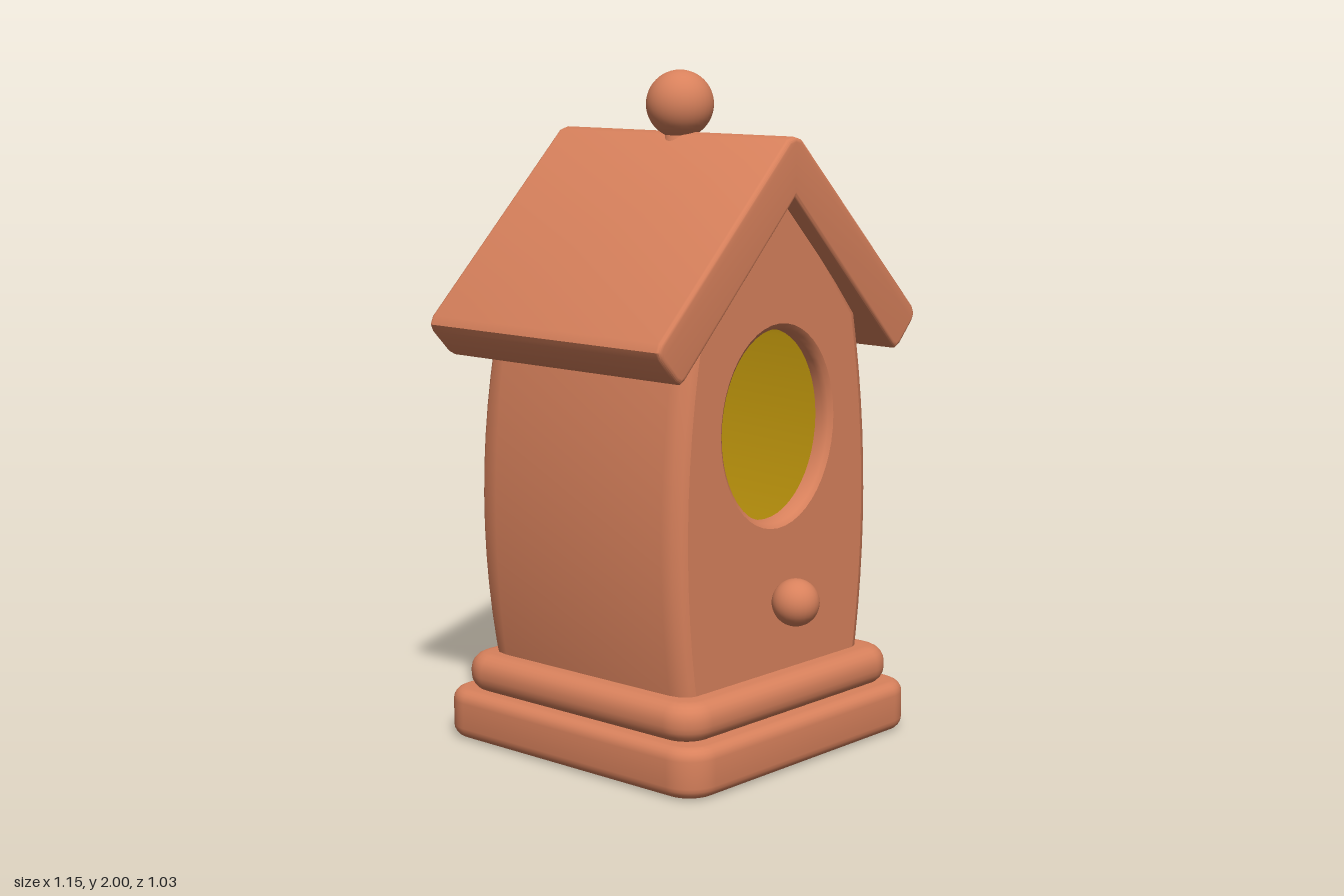
import * as THREE from 'three';
import { toCreasedNormals } from 'three/addons/utils/BufferGeometryUtils.js';

const clay = new THREE.MeshStandardMaterial({ color: 0xd8815c });
clay.name = 'terracotta';
const yellow = new THREE.MeshStandardMaterial({ color: 0xd8aa10 });
yellow.name = 'yellow lining';

const V2 = (x, y) => new THREE.Vector2(x, y);

function add(group, name, geometry, material, x = 0, y = 0, z = 0) {
  const mesh = new THREE.Mesh(geometry, material);
  mesh.name = name;
  mesh.position.set(x, y, z);
  group.add(mesh);
  return mesh;
}

// Gabled wall outline with bulging sides, anticlockwise from the front
function outline(inset, bottom = 0.2) {
  const right = [];
  for (let i = 0; i <= 12; i++) {
    const y = bottom + ((1.28 - bottom) * i) / 12;
    right.push(V2(0.44 - 0.04 * ((y - 0.7) / 0.47) ** 2 - inset, y));
  }
  const left = right.map((p) => V2(-p.x, p.y)).reverse();
  return [...right, V2(0, 1.68), ...left];
}

function ellipse(rx, ry) {
  const points = [];
  for (let i = 0; i < 48; i++) {
    const a = (i / 48) * Math.PI * 2;
    points.push(V2(rx * Math.cos(a), 0.985 + ry * Math.sin(a)));
  }
  return points;
}

// The back wall swells slightly at mid height
const backSwell = (y) => 0.02 * Math.max(0, 1 - ((y - 0.8) / 0.6) ** 2);

function swellBack(geometry) {
  const p = geometry.attributes.position;
  for (let i = 0; i < p.count; i++) {
    if (p.getZ(i) < -0.37) p.setZ(i, p.getZ(i) - backSwell(p.getY(i)));
  }
  geometry.computeVertexNormals();
  return geometry;
}

// Closed rings [points, z]; front to back faces outwards, back to front inwards
function loft(rings) {
  const n = rings[0][0].length;
  const positions = [];
  const index = [];
  rings.forEach(([points, z]) => points.forEach((p) => positions.push(p.x, p.y, z)));
  for (let r = 0; r < rings.length - 1; r++) {
    for (let j = 0; j < n; j++) {
      const a = r * n + j;
      const b = r * n + ((j + 1) % n);
      index.push(a, a + n, b, b, a + n, b + n);
    }
  }
  const g = new THREE.BufferGeometry();
  g.setAttribute('position', new THREE.Float32BufferAttribute(positions, 3));
  g.setIndex(index);
  return toCreasedNormals(swellBack(g), 0.7);
}

// Flat wall, with an optional opening, facing front or back
function panel(points, z, hole, facingBack) {
  const shape = new THREE.Shape(points);
  if (hole) shape.holes.push(new THREE.Path(hole));
  const g = new THREE.ShapeGeometry(shape);
  if (facingBack) g.rotateY(Math.PI);
  return swellBack(g.translate(0, 0, z));
}

function extrude(shape, depth, bevel) {
  const g = new THREE.ExtrudeGeometry(shape, {
    depth: depth - 2 * bevel, bevelThickness: bevel, bevelSize: bevel,
    bevelOffset: -bevel, bevelSegments: 5, curveSegments: 8,
  });
  return toCreasedNormals(g.translate(0, 0, bevel), 0.6);
}

// Rounded plinth slab lying flat
function slab(w, d, h, r, bevel) {
  const s = new THREE.Shape();
  const x = w / 2, y = d / 2;
  s.absarc(x - r, y - r, r, 0, Math.PI / 2);
  s.absarc(r - x, y - r, r, Math.PI / 2, Math.PI);
  s.absarc(r - x, r - y, r, Math.PI, Math.PI * 1.5);
  s.absarc(x - r, r - y, r, Math.PI * 1.5, Math.PI * 2);
  s.closePath();
  return extrude(s, h, bevel).rotateX(-Math.PI / 2);
}

export function createModel() {
  const model = new THREE.Group();
  model.name = 'birdhouse';

  // Stepped base
  add(model, 'lowerBase', slab(1.03, 1.02, 0.148, 0.1, 0.035), clay, 0, 0, -0.005);
  add(model, 'upperBase', slab(0.96, 0.935, 0.115, 0.1, 0.05), clay, 0, 0.142, -0.005);

  // Outer walls with softened corners
  const body = new THREE.Group();
  body.name = 'body';
  model.add(body);
  add(body, 'sideWalls', loft([
    [outline(0.045), 0.382], [outline(0.025), 0.375], [outline(0.008), 0.355], [outline(0), 0.32],
    [outline(0), -0.34], [outline(0.008), -0.375], [outline(0.022), -0.393], [outline(0.04), -0.4],
  ]), clay);
  add(body, 'frontWall', panel(outline(0.045), 0.382, ellipse(0.255, 0.3)), clay);
  add(body, 'backWall', panel(outline(0.04), -0.4, null, true), clay);

  // Rounded lip of the round opening
  add(body, 'openingRim', loft([
    [ellipse(0.235, 0.28), 0.33], [ellipse(0.235, 0.28), 0.355],
    [ellipse(0.241, 0.286), 0.372], [ellipse(0.255, 0.3), 0.382],
  ]), clay);

  // Hollow interior
  const room = outline(0.07, 0.28);
  add(body, 'roomWalls', loft([[room, -0.365], [room, 0.33]]), yellow);
  add(body, 'roomBack', panel(room, -0.365), yellow);
  add(body, 'roomFront', panel(room, 0.33, ellipse(0.235, 0.28), true), yellow);

  // Chevron roof with blunted ridge and eaves
  const half = [[0.03, 1.812], [0.567, 1.29], [0.577, 1.265], [0.567, 1.243],
    [0.507, 1.18], [0.485, 1.168], [0.465, 1.18]];
  const roofPoints = [
    V2(0, 1.82), ...half.map(([x, y]) => V2(-x, y)), V2(0, 1.645),
    ...half.map(([x, y]) => V2(x, y)).reverse(),
  ];
  add(model, 'roof', extrude(new THREE.Shape(roofPoints), 0.91, 0.014), clay, 0, 0, -0.47);

  // Ridge finial and front perch
  add(model, 'finialNeck', new THREE.CylinderGeometry(0.035, 0.05, 0.05, 24), clay, 0, 1.815, 0);
  add(model, 'finialBall', new THREE.SphereGeometry(0.1, 32, 24), clay, 0, 1.9, 0);
  add(model, 'perchKnob', new THREE.SphereGeometry(0.07, 28, 20), clay, 0, 0.475, 0.45);

  return model;
}
